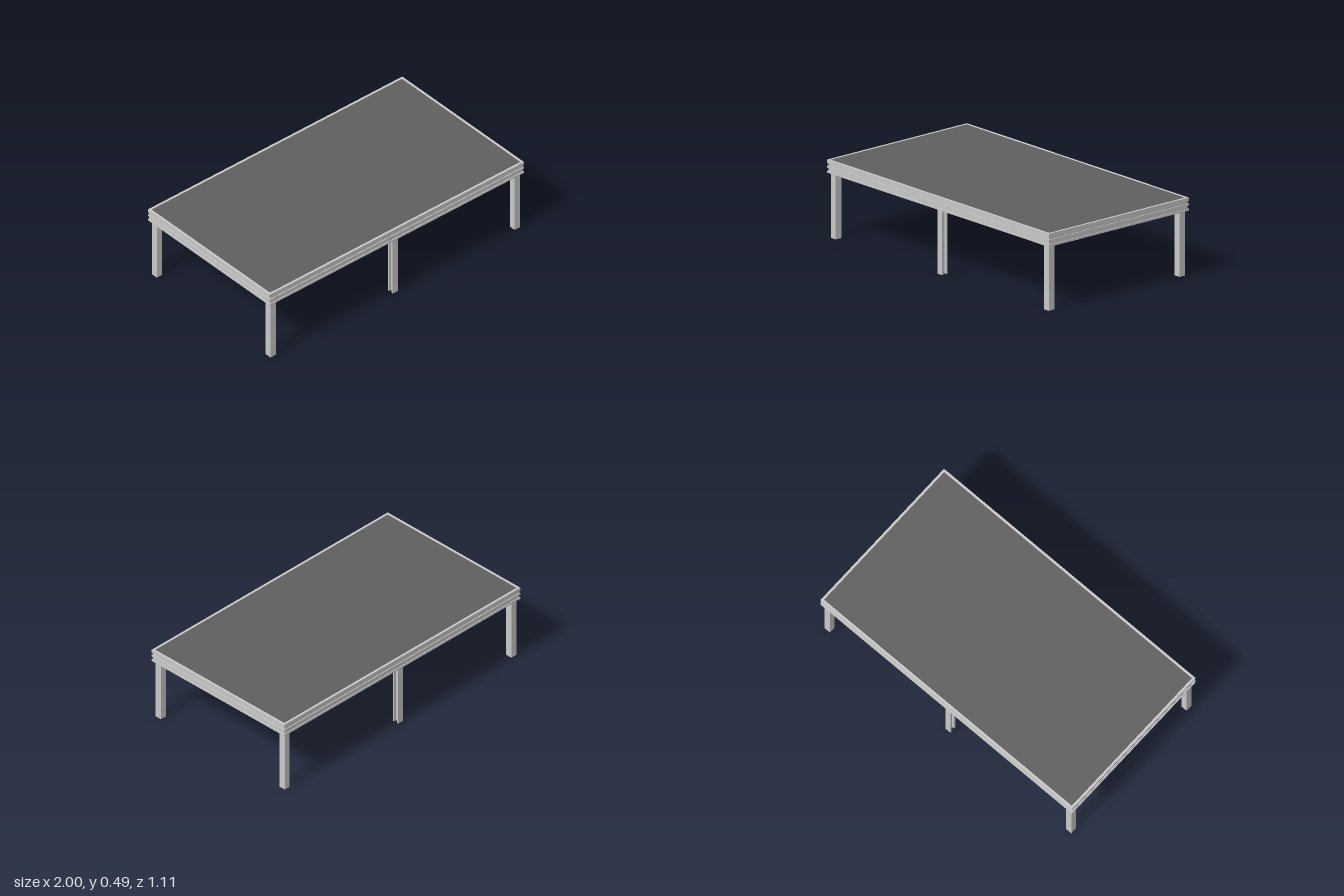
import * as THREE from 'three';

const HX = 1, HZ = 0.555, TOP = 0.487;

const alloy = new THREE.MeshStandardMaterial({ color: 0xc8c8c8 });
alloy.name = 'light grey metal';
const deck = new THREE.MeshStandardMaterial({ color: 0x5f5f5f });
deck.name = 'dark grey deck';

function add(parent, geometry, material, name, x = 0, y = 0, z = 0) {
  const mesh = new THREE.Mesh(geometry, material);
  mesh.name = name;
  mesh.position.set(x, y, z);
  parent.add(mesh);
  return mesh;
}

function trace(path, hx, hz) {
  path.moveTo(-hx, -hz);
  path.lineTo(hx, -hz);
  path.lineTo(hx, hz);
  path.lineTo(-hx, hz);
  path.closePath();
  return path;
}

// Upright rectangular tube standing on y = 0
function tube(hx, hz, innerX, innerZ, height) {
  const shape = trace(new THREE.Shape(), hx, hz);
  shape.holes.push(trace(new THREE.Path(), innerX, innerZ));
  return new THREE.ExtrudeGeometry(shape, { depth: height, bevelEnabled: false }).rotateX(-Math.PI / 2);
}

export function createModel() {
  const model = new THREE.Group();
  model.name = 'stagePlatform';

  // Grooved edge frame: [bottom, top, outer inset, inner inset]
  const frame = new THREE.Group();
  frame.name = 'edgeFrame';
  model.add(frame);
  const bands = [
    [0.405, 0.417, 0, 0.015],
    [0.417, 0.437, 0.005, 0.011],
    [0.437, 0.449, 0, 0.015],
    [0.449, 0.465, 0.005, 0.011],
    [0.465, TOP, 0, 0.015],
  ];
  bands.forEach(([y0, y1, out, inn], i) => {
    const geometry = tube(HX - out, HZ - out, HX - inn, HZ - inn, y1 - y0);
    add(frame, geometry, alloy, i % 2 ? 'frameGroove' : 'frameRidge', 0, y0, 0);
  });

  // Deck panel set into the frame
  add(model, new THREE.BoxGeometry(1.97, 0.02, 1.08), deck, 'deckPanel', 0, 0.475, 0);

  const legHeight = 0.465, legZ = 0.518;
  for (const sz of [-1, 1]) {
    // Hollow corner legs
    for (const sx of [-1, 1]) {
      add(model, tube(0.021, 0.022, 0.018, 0.019, legHeight), alloy, 'cornerLeg', sx * 0.96, 0, sz * legZ);
    }
    // Middle leg: two flanges joined by a web, open at the sides
    const middle = new THREE.Group();
    middle.name = 'middleLeg';
    middle.position.set(0, legHeight / 2, sz * legZ);
    model.add(middle);
    for (const s of [-1, 1]) {
      add(middle, new THREE.BoxGeometry(0.04, legHeight, 0.01), alloy, 'legFlange', 0, 0, s * 0.017);
    }
    add(middle, new THREE.BoxGeometry(0.008, legHeight, 0.024), alloy, 'legWeb');
  }
  return model;
}
